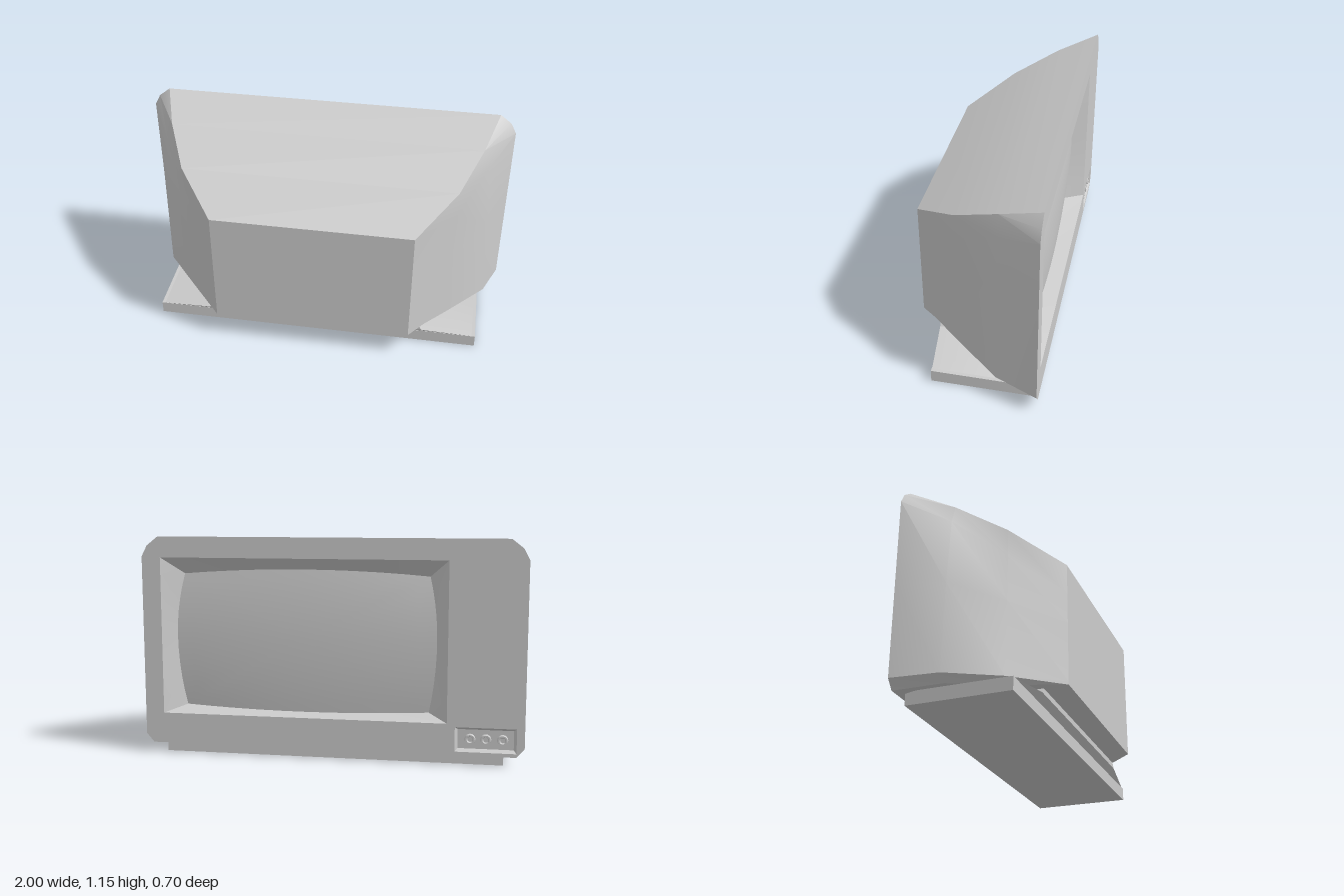
import * as THREE from 'three';
import { toCreasedNormals } from 'three/addons/utils/BufferGeometryUtils.js';

const material = new THREE.MeshStandardMaterial({ color: 0xcccccc, side: THREE.DoubleSide });

function addMesh(parent, name, geometry) {
  const mesh = new THREE.Mesh(geometry, material);
  mesh.name = name;
  parent.add(mesh);
  return mesh;
}

// Skin closed rings of [x, y, z] points that all have the same count
function loft(rings, crease = 0.5) {
  const pos = [];
  for (let k = 0; k + 1 < rings.length; k++) {
    const p = rings[k], q = rings[k + 1], n = p.length;
    for (let i = 0; i < n; i++) {
      const j = (i + 1) % n;
      pos.push(...p[i], ...p[j], ...q[j], ...p[i], ...q[j], ...q[i]);
    }
  }
  const g = new THREE.BufferGeometry();
  g.setAttribute('position', new THREE.Float32BufferAttribute(pos, 3));
  g.computeVertexNormals();
  return toCreasedNormals(g, crease);
}

// Half section listed bottom to top, mirrored into a full ring
const mirrorRing = (half, z) => [
  ...half.map(([x, y]) => [x, y, z]),
  ...half.slice().reverse().map(([x, y]) => [-x, y, z]),
];

const rect = (x0, x1, y0, y1, z) => [[x0, y0, z], [x1, y0, z], [x1, y1, z], [x0, y1, z]];

const BACK = -0.35;
const rim = [[0.96, 0.053], [1, 0.1], [1, 0.6], [1, 1.05], [0.97, 1.108], [0.91, 1.155]];
const opening = { x0: -0.607, x1: 0.9, y0: 0.216, y1: 1.046 };
const panel = { x0: -0.96, x1: -0.648, y0: 0.072, y1: 0.2 };

// Screen outline at scale r: straight at the bezel, bowed and domed at the glass
function screenRing(inset, r = 1) {
  const ring = [], n = 10, { x0, x1, y0, y1 } = opening;
  const corners = [[-1, -1], [1, -1], [1, 1], [-1, 1]];
  for (let s = 0; s < 4; s++) {
    const a = corners[s], b = corners[(s + 1) % 4];
    for (let i = 0; i < n; i++) {
      const u = r * (a[0] + (b[0] - a[0]) * i / n), v = r * (a[1] + (b[1] - a[1]) * i / n);
      const dx = inset * (0.06 + 0.04 * v * v);
      const dy = inset * (v > 0 ? 0.06 + 0.03 * u * u : 0.015 + 0.015 * u * u);
      const depth = inset * (0.055 + 0.025 * (u * u + v * v));
      ring.push([(x0 + x1) / 2 + u * ((x1 - x0) / 2 - dx), (y0 + y1) / 2 + v * ((y1 - y0) / 2 - dy), BACK + depth]);
    }
  }
  return ring;
}

export function createModel() {
  const model = new THREE.Group();
  model.name = 'television';

  // Tapering cabinet, closed at its narrow end
  const end = [[0.53, 0.153], [0.53, 0.17], [0.53, 0.48], [0.53, 0.64], [0.53, 0.805], [0.53, 0.805]];
  addMesh(model, 'cabinet', loft([
    mirrorRing(rim, BACK),
    mirrorRing([[0.88, 0.09], [0.925, 0.125], [0.905, 0.6], [0.875, 0.96], [0.84, 1.065], [0.84, 1.065]], -0.13),
    mirrorRing([[0.69, 0.123], [0.735, 0.15], [0.725, 0.55], [0.725, 0.8], [0.73, 0.945], [0.73, 0.945]], 0.11),
    mirrorRing(end, 0.35),
    mirrorRing(end.map(() => [0, 0.48]), 0.35),
  ], 0.4));

  // Flat bezel with cut-outs for the screen and the controls
  const face = new THREE.Shape(mirrorRing(rim, 0).map(([x, y]) => new THREE.Vector2(x, y)));
  for (const { x0, x1, y0, y1 } of [opening, panel]) {
    face.holes.push(new THREE.Path(rect(x0, x1, y0, y1, 0).reverse().map(([x, y]) => new THREE.Vector2(x, y))));
  }
  addMesh(model, 'bezel', new THREE.ShapeGeometry(face)).position.z = BACK;

  // Sloping surround and domed glass
  addMesh(model, 'screenSurround', loft([screenRing(0), screenRing(1)]));
  const domeRings = [];
  for (let k = 0; k <= 8; k++) domeRings.push(screenRing(1, 1 - k / 8));
  addMesh(model, 'screen', loft(domeRings, 0.8));

  // Recessed control tray
  const { x0, x1, y0, y1 } = panel, m = 0.014, floor = BACK + 0.022;
  const mid = [(x0 + x1) / 2, (y0 + y1) / 2, floor];
  addMesh(model, 'controlTray', loft([
    rect(x0, x1, y0, y1, BACK),
    rect(x0 + m, x1 - m, y0 + m, y1 - m, floor),
    [mid, mid, mid, mid],
  ]));

  // Three dished knobs
  const profile = [[0.028, 0], [0.025, 0.018], [0.017, 0.018], [0.013, 0.008], [0, 0.008]]
    .map(([x, y]) => new THREE.Vector2(x, y));
  const knobGeometry = toCreasedNormals(new THREE.LatheGeometry(profile, 16), 0.5);
  for (const x of [-0.725, -0.805, -0.89]) {
    const knob = addMesh(model, 'knob', knobGeometry);
    knob.position.set(x, mid[1], floor);
    knob.rotation.x = -Math.PI / 2;
  }

  // Flared neck joining cabinet and base
  const neckRing = (hx, y, front, back) => [[-hx, y, front], [hx, y, front], [hx, y, back], [-hx, y, back]];
  addMesh(model, 'neck', loft([
    neckRing(0.885, 0.067, 0.212, -0.29),
    neckRing(0.6, 0.102, 0.243, -0.2),
    neckRing(0.58, 0.13, 0.243, -0.1),
  ]));

  // Base slab
  addMesh(model, 'base', new THREE.BoxGeometry(1.79, 0.068, 0.53)).position.set(0, 0.034, -0.05);

  return model;
}
